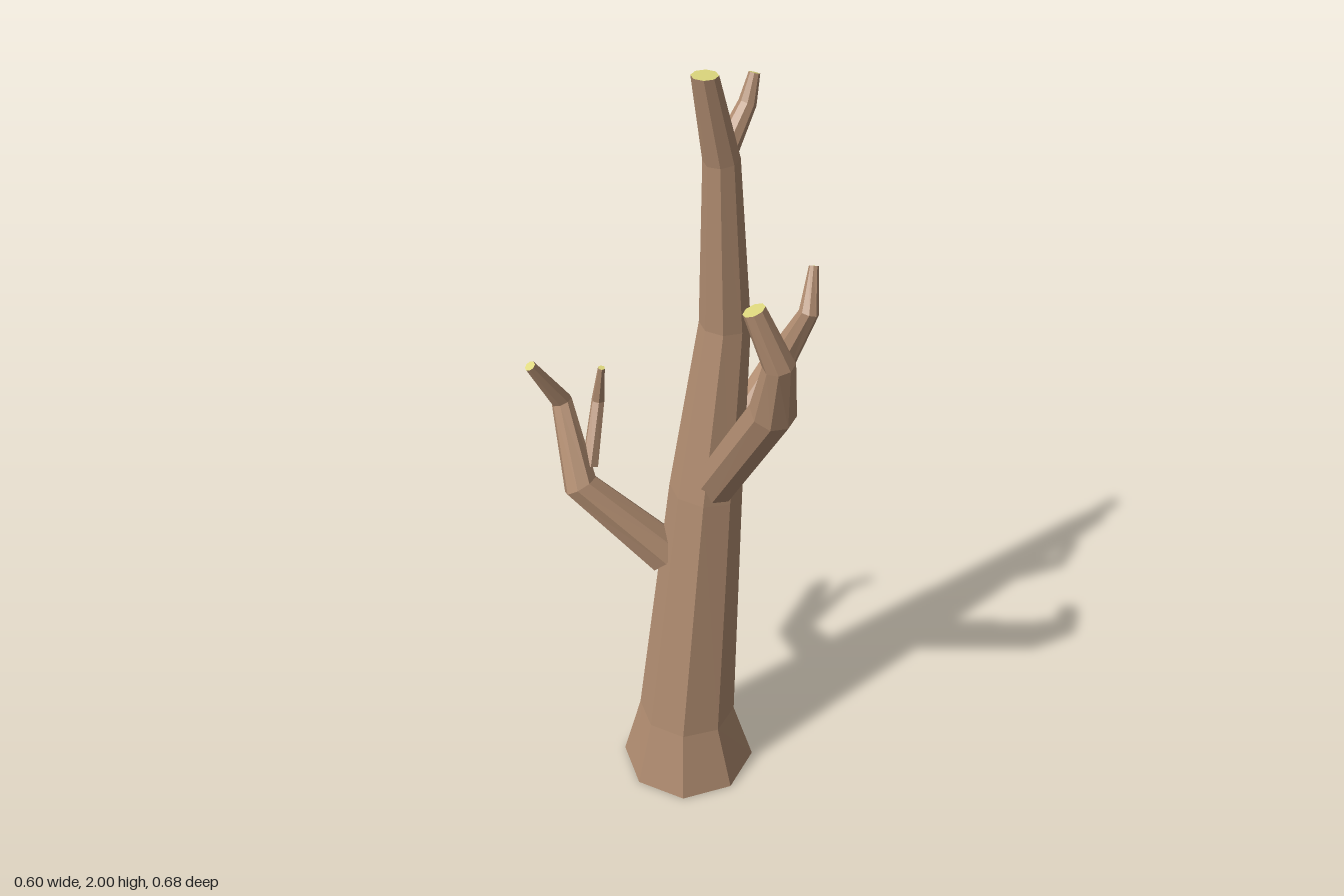
import * as THREE from 'three';

const bark = new THREE.MeshStandardMaterial({ color: 0xb08c70, flatShading: true });
const cutWood = new THREE.MeshStandardMaterial({ color: 0xdcd67c, flatShading: true });

// Rings of points across a path of [x, y, z, radius] knots
function makeRings(knots, sides, endDir) {
  const pts = knots.map(([x, y, z]) => new THREE.Vector3(x, y, z));
  const dirs = pts.slice(1).map((p, i) => p.clone().sub(pts[i]).normalize());
  const last = pts.length - 1;
  return pts.map((p, i) => {
    let t = dirs[Math.min(i, last - 1)].clone();
    if (i > 0 && i < last) t.add(dirs[i - 1]).normalize();
    if (i === last && endDir) t = endDir;
    const side = new THREE.Vector3(0, 0, 1).cross(t).negate();
    side.set(1, 0, 0).addScaledVector(t, -t.x).normalize();
    const front = new THREE.Vector3().crossVectors(side, t);
    return Array.from({ length: sides }, (_, k) => {
      const a = (k / sides) * Math.PI * 2;
      return p.clone()
        .addScaledVector(side, Math.cos(a) * knots[i][3])
        .addScaledVector(front, Math.sin(a) * knots[i][3]);
    });
  });
}

function meshFrom(triangles, material, name) {
  const geometry = new THREE.BufferGeometry().setFromPoints(triangles);
  geometry.computeVertexNormals();
  const mesh = new THREE.Mesh(geometry, material);
  mesh.name = name;
  return mesh;
}

// A tapering faceted limb: bark with a closed base, and a pale cut end
function limb(name, knots, sides = 8, endDir) {
  const rings = makeRings(knots, sides, endDir);
  const last = rings.length - 1;
  const skin = [];
  const cut = [];
  for (let k = 0; k < sides; k++) {
    const n = (k + 1) % sides;
    for (let i = 0; i < last; i++) {
      const a = rings[i][k], b = rings[i][n], c = rings[i + 1][n], d = rings[i + 1][k];
      skin.push(a, d, c, a, c, b);
    }
    if (k > 0 && k < sides - 1) {
      skin.push(rings[0][0], rings[0][k], rings[0][n]);
      cut.push(rings[last][0], rings[last][n], rings[last][k]);
    }
  }
  const group = new THREE.Group();
  group.name = name;
  group.add(meshFrom(skin, bark, name + 'Bark'), meshFrom(cut, cutWood, name + 'CutEnd'));
  return group;
}

export function createModel() {
  const tree = new THREE.Group();
  tree.name = 'bareTree';

  // Trunk with flared foot
  tree.add(limb('trunk', [
    [-0.056, 0.008, -0.013, 0.178],
    [-0.062, 0.19, -0.01, 0.128],
    [0.003, 0.9, -0.006, 0.092],
    [0.06, 1.36, -0.003, 0.062],
    [0.044, 1.79, 0, 0.043],
    [-0.005, 2, 0, 0.031],
  ], 8, new THREE.Vector3(0, 1, 0)));

  // Main branches
  tree.add(limb('frontBranch', [
    [0, 0.93, 0.03, 0.056],
    [-0.03, 1.285, 0.265, 0.056],
    [-0.052, 1.435, 0.303, 0.038],
    [-0.092, 1.572, 0.262, 0.027],
  ]));
  tree.add(limb('leftBranch', [
    [0.05, 0.98, 0, 0.05],
    [0.212, 1.18, 0.015, 0.042],
    [0.245, 1.36, 0.092, 0.025],
    [0.287, 1.458, 0.06, 0.012],
  ]));
  tree.add(limb('backBranch', [
    [-0.08, 0.7, -0.07, 0.06],
    [-0.235, 0.91, -0.212, 0.045],
    [-0.206, 1.1, -0.313, 0.027],
    [-0.288, 1.232, -0.32, 0.014],
  ]));

  // Small twigs
  tree.add(limb('backTwig', [
    [-0.2, 0.95, -0.215, 0.022],
    [-0.133, 1.095, -0.26, 0.017],
    [-0.132, 1.2, -0.241, 0.009],
  ], 6));
  tree.add(limb('topTwig', [
    [0.05, 1.8, 0, 0.03],
    [0.122, 1.9, -0.003, 0.021],
    [0.145, 1.963, -0.007, 0.013],
  ], 8));

  return tree;
}
